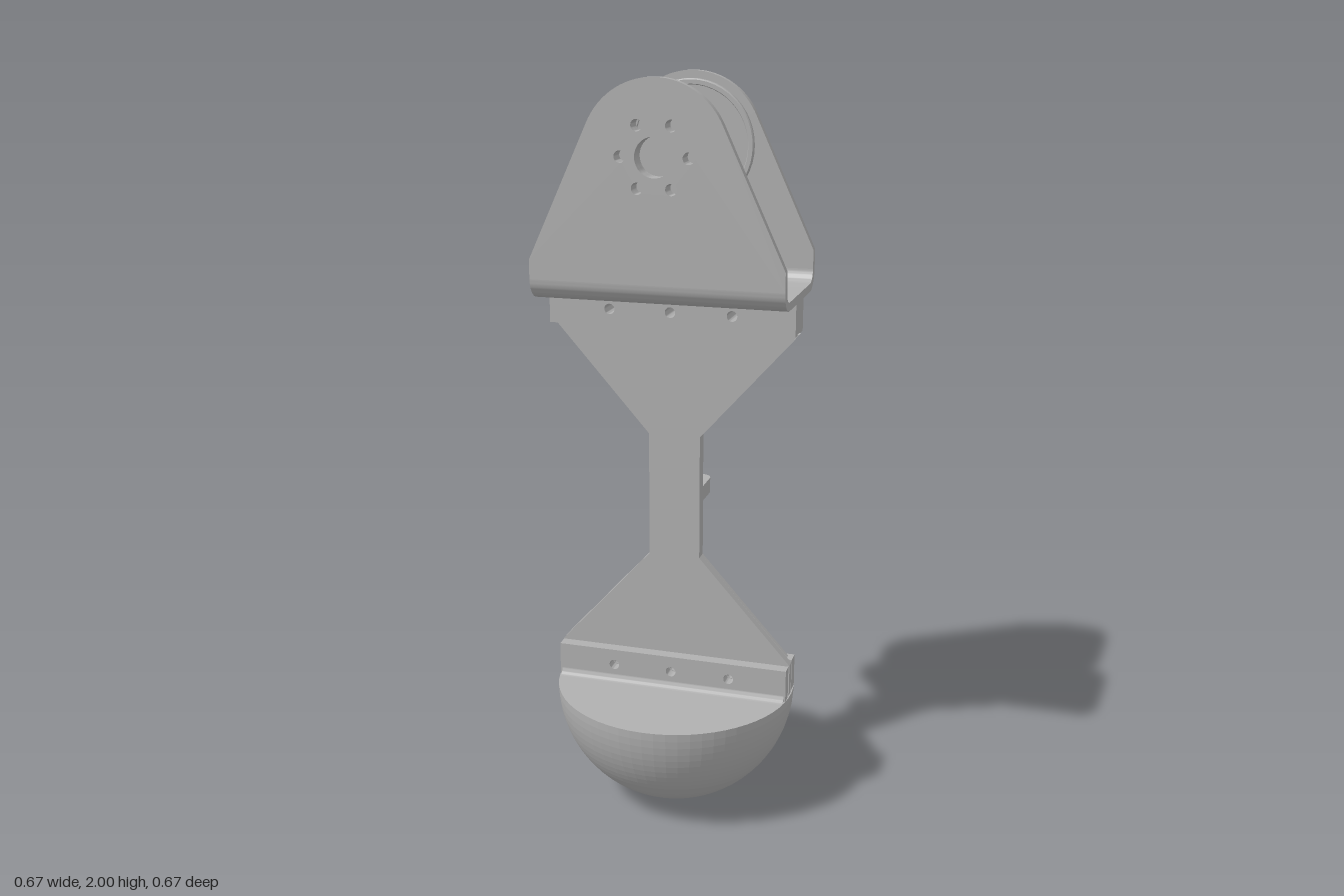
import * as THREE from 'three';
import { toCreasedNormals } from 'three/addons/utils/BufferGeometryUtils.js';

export function createModel() {
  const model = new THREE.Group();
  const grey = new THREE.MeshStandardMaterial({ color: 0xb0b0b0 });
  grey.name = 'grey';

  const add = (parent, name, geometry, crease = 0.6) => {
    const mesh = new THREE.Mesh(toCreasedNormals(geometry, crease), grey);
    mesh.name = name;
    parent.add(mesh);
    return mesh;
  };
  const group = (name, x = 0) => {
    const g = new THREE.Group();
    g.name = name;
    g.position.x = x;
    model.add(g);
    return g;
  };
  const poly = (pts) => new THREE.Shape(pts.map(([x, y]) => new THREE.Vector2(x, y)));
  const rect = (x0, y0, x1, y1) => poly([[x0, y0], [x1, y0], [x1, y1], [x0, y1]]);
  // Flat plate between two depths, with round holes given as [x, y, radius]
  const plate = (shape, z0, z1, holes = []) => {
    for (const [x, y, r] of holes) shape.holes.push(new THREE.Path().absarc(x, y, r, 0, Math.PI * 2, true));
    const g = new THREE.ExtrudeGeometry(shape, { depth: z1 - z0, bevelEnabled: false, curveSegments: 20 });
    return g.translate(0, 0, z0);
  };
  // Side profile drawn in (z, y), swept along x
  const sweepX = (shape, half) =>
    new THREE.ExtrudeGeometry(shape, { depth: half * 2, bevelEnabled: false, curveSegments: 8 })
      .translate(0, 0, -half).rotateY(Math.PI / 2);
  const polar = (n, r, start, cx, cy, size) => Array.from({ length: n }, (_, i) => {
    const a = start + i * Math.PI * 2 / n;
    return [cx + r * Math.cos(a), cy + r * Math.sin(a), size];
  });

  // Fork bracket
  const bracket = group('forkBracket', -0.004);
  const cy = 1.81, R = 0.19, W = 0.333, shoulder = 1.545, zo = 0.183, zi = 0.161, bendTop = 1.495;
  const tangent = Math.atan2(shoulder - cy, W) + Math.acos(R / Math.hypot(W, shoulder - cy));
  const cheek = () => {
    const s = new THREE.Shape();
    s.moveTo(-W, bendTop);
    s.lineTo(W, bendTop);
    s.lineTo(W, shoulder);
    s.absarc(0, cy, R, tangent, Math.PI - tangent, false);
    s.lineTo(-W, shoulder);
    return s;
  };
  const hornHoles = [[0, cy, 0.05], ...polar(6, 0.088, 0, 0, cy, 0.015)];
  add(bracket, 'frontCheek', plate(cheek(), zi, zo, hornHoles));
  add(bracket, 'backCheek', plate(cheek(), -zo, -zi));

  const y0 = 1.44, t = zo - zi, ro = bendTop - y0, ri = ro - t;
  const bend = new THREE.Shape();
  bend.moveTo(-zo, bendTop);
  bend.absarc(-zo + ro, bendTop, ro, Math.PI, Math.PI * 1.5, false);
  bend.absarc(zo - ro, bendTop, ro, Math.PI * 1.5, Math.PI * 2, false);
  bend.lineTo(zi, bendTop);
  bend.absarc(zo - ro, bendTop, ri, Math.PI * 2, Math.PI * 1.5, true);
  bend.absarc(-zo + ro, bendTop, ri, Math.PI * 1.5, Math.PI, true);
  add(bracket, 'bracketBend', sweepX(bend, W));

  // Flared boss with pins on the inside of the front cheek
  const disc = new THREE.Shape().absarc(0, cy, 0.125, 0, Math.PI * 2, false);
  add(bracket, 'bossFace', plate(disc, 0.138, zi, hornHoles));
  const lathe = (pts) => new THREE.LatheGeometry(pts.map(([r, h]) => new THREE.Vector2(r, h)), 48);
  const flare = lathe([[0.158, 0], [0.145, 0.004], [0.135, 0.011], [0.129, 0.018], [0.125, 0.023]]);
  add(bracket, 'bossFlare', flare.rotateX(-Math.PI / 2).translate(0, cy, zi));
  for (const [x, y] of polar(3, 0.09, Math.PI / 6, 0, cy, 0)) {
    const pin = new THREE.CylinderGeometry(0.01, 0.013, 0.012, 16);
    add(bracket, 'bossPin', pin.rotateX(-Math.PI / 2).translate(x, y, 0.132));
  }

  // Shallow rimmed disc on the inside of the back cheek
  const pad = lathe([[0.17, 0], [0.17, 0.01], [0.167, 0.013], [0.156, 0.013], [0.154, 0.01], [0, 0.01]]);
  add(bracket, 'backDisc', pad.rotateX(Math.PI / 2).translate(0, cy, -zi));

  // Clamp block under the bracket
  const boltHoles = (y) => [-0.166, 0, 0.166].map((x) => [x, y, 0.014]);
  add(bracket, 'upperClamp', plate(rect(-W, 1.355, W, 1.443), -0.044, 0.046, boltHoles(1.4)));

  // Narrow-waisted link
  const link = group('link');
  const right = [[0.33, 0.335], [0.33, 0.425], [0.071, 0.715], [0.071, 1.06], [0.333, 1.357]];
  const outline = [...right, ...right.map(([x, y]) => [-x, y]).reverse()];
  add(link, 'linkWeb', plate(poly(outline), -0.004, 0.02, boltHoles(0.38)));

  // Stepped ribs along both edges of the back
  const edge = (d) => [[0.318 - d * 1.35, 0.44], [0.071 - d, 0.715 - d * 0.4],
    [0.071 - d, 1.06 + d * 0.4], [0.318 - d * 1.35, 1.338]];
  const rib = (side, a, b) => {
    const pts = [...edge(a).reverse(), ...edge(b)].map(([x, y]) => [x * side, y]);
    return poly(pts);
  };
  for (const side of [-1, 1]) {
    add(link, 'ribBase', plate(rib(side, 0, 0.042), -0.016, -0.003));
    add(link, 'ribRidge', plate(rib(side, 0.012, 0.032), -0.042, -0.015));
  }

  // Cable loop behind the waist
  const rounded = (path, x, z, r) => {
    path.moveTo(-x, 0);
    path.lineTo(x, 0);
    path.lineTo(x, z - r);
    path.absarc(x - r, z - r, r, 0, Math.PI / 2, false);
    path.absarc(-x + r, z - r, r, Math.PI / 2, Math.PI, false);
    path.closePath();
    return path;
  };
  const loop = rounded(new THREE.Shape(), 0.071, 0.117, 0.03);
  loop.holes.push(rounded(new THREE.Path(), 0.051, 0.097, 0.012));
  const loopGeo = new THREE.ExtrudeGeometry(loop, { depth: 0.042, bevelEnabled: false, curveSegments: 6 });
  add(link, 'cableLoop', loopGeo.rotateX(-Math.PI / 2).translate(0, 0.87, 0));

  // Foot: half ball with a slotted clamp on top
  const foot = group('foot');
  const ball = new THREE.SphereGeometry(W, 64, 24, 0, Math.PI * 2, Math.PI / 2, Math.PI / 2);
  add(foot, 'halfBall', ball.translate(0, W, 0), 0.01);
  add(foot, 'footTop', new THREE.CircleGeometry(W, 64).rotateX(-Math.PI / 2).translate(0, W, 0));
  for (const side of [-1, 1]) {
    const [z0, z1] = side > 0 ? [0.024, 0.057] : [-0.057, -0.02];
    add(foot, 'footClampJaw', plate(rect(-0.328, 0.33, 0.328, 0.425), z0, z1, boltHoles(0.38)));
    const fillet = new THREE.Shape();
    fillet.moveTo(side * 0.055, 0.332);
    fillet.lineTo(side * 0.075, 0.333);
    fillet.quadraticCurveTo(side * 0.058, 0.334, side * 0.057, 0.351);
    fillet.lineTo(side * 0.055, 0.351);
    add(foot, 'clampFillet', sweepX(fillet, 0.323));
  }
  return model;
}
